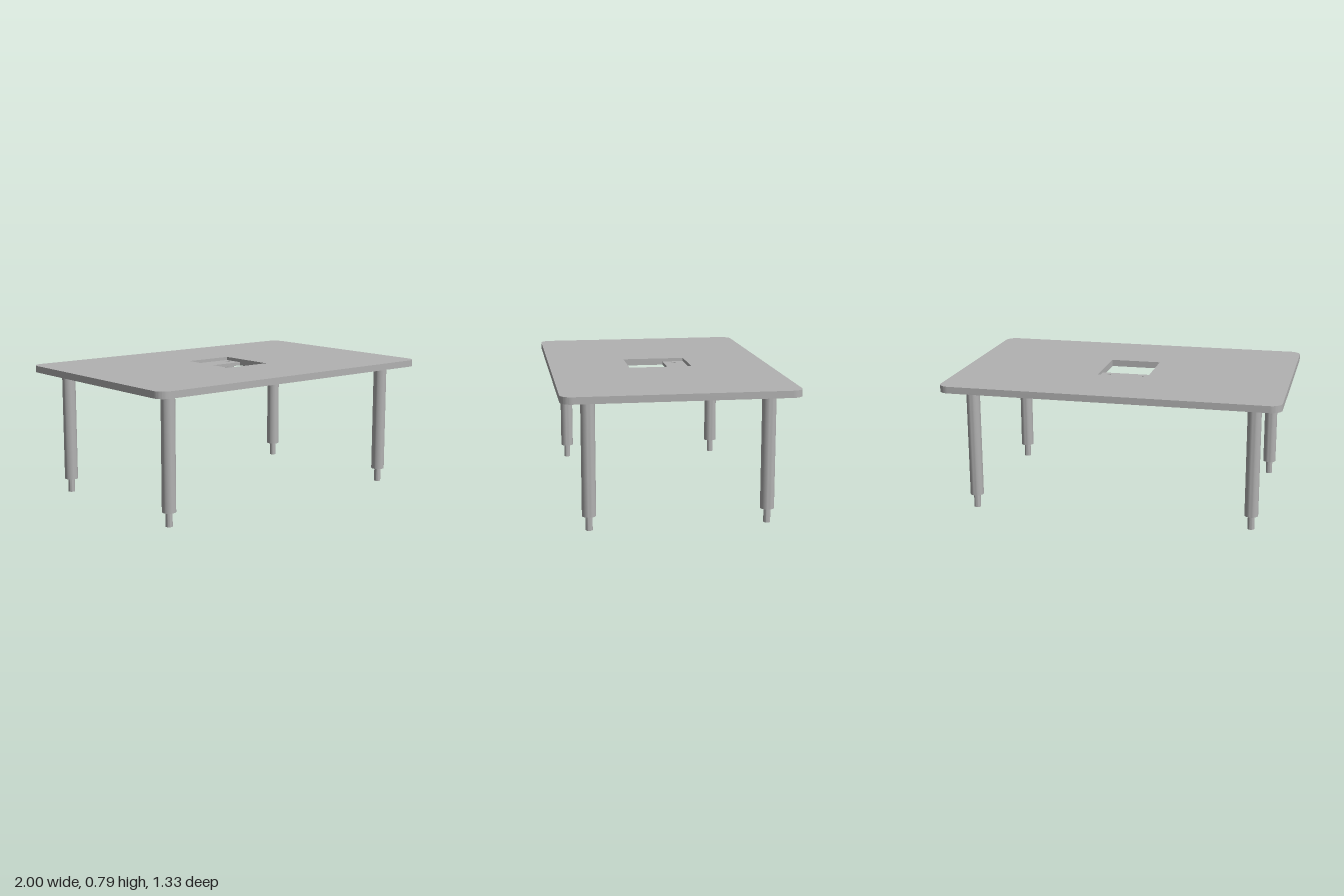
import * as THREE from 'three';
import { toCreasedNormals } from 'three/addons/utils/BufferGeometryUtils.js';

const TOP = 0.79, UNDER = 0.75, LEDGE_TOP = 0.77;
const HOLE_R = 0.014, HOLE_X = 0.1, HOLE_Z = -0.12;

// Horizontal slab from a plan outline (plan y is -z), between two heights
function slab(shape, y0, y1) {
  const g = new THREE.ExtrudeGeometry(shape, { depth: y1 - y0, bevelEnabled: false, curveSegments: 12 });
  g.rotateX(-Math.PI / 2).translate(0, y0, 0);
  return toCreasedNormals(g, 0.5);
}

// Turned part from [radius, y] pairs, listed from bottom to top
function turned(profile) {
  const points = profile.map(([r, y]) => new THREE.Vector2(r, y));
  return toCreasedNormals(new THREE.LatheGeometry(points, 32), 0.5);
}

function rectangle(path, x, y0, y1) {
  path.moveTo(-x, y0).lineTo(x, y0).lineTo(x, y1).lineTo(-x, y1).closePath();
  return path;
}

function roundedRectangle(x, y, r) {
  const s = new THREE.Shape();
  s.absarc(x - r, y - r, r, 0, Math.PI / 2);
  s.absarc(-x + r, y - r, r, Math.PI / 2, Math.PI);
  s.absarc(-x + r, -y + r, r, Math.PI, Math.PI * 1.5);
  s.absarc(x - r, -y + r, r, Math.PI * 1.5, Math.PI * 2);
  s.closePath();
  return s;
}

export function createModel() {
  const model = new THREE.Group();
  model.name = 'table';
  const grey = new THREE.MeshStandardMaterial({ color: 0xb2b2b2 });
  grey.name = 'grey';

  const add = (name, geometry, x = 0, z = 0) => {
    const mesh = new THREE.Mesh(geometry, grey);
    mesh.name = name;
    mesh.position.set(x, 0, z);
    model.add(mesh);
  };

  // Rounded tabletop with a central opening
  const top = roundedRectangle(1, 0.667, 0.067);
  top.holes.push(rectangle(new THREE.Path(), 0.153, -0.19, 0.19));
  add('tabletop', slab(top, UNDER, TOP));

  // Recessed ledge at the back of the opening, with two screw holes
  const ledge = rectangle(new THREE.Shape(), 0.153, 0.06, 0.19);
  for (const s of [-1, 1]) {
    ledge.holes.push(new THREE.Path().absarc(s * HOLE_X, -HOLE_Z, HOLE_R, 0, Math.PI * 2));
  }
  add('ledge', slab(ledge, UNDER, LEDGE_TOP));

  // Round bosses under the ledge, each with a blind hole
  const boss = turned([[0, 0.71], [0.04, 0.71], [0.04, UNDER], [HOLE_R, UNDER], [HOLE_R, 0.73], [0, 0.73]]);
  for (const s of [-1, 1]) add(s > 0 ? 'leftBoss' : 'rightBoss', boss, s * HOLE_X, HOLE_Z);

  // Round legs stepping down to narrow feet
  const leg = turned([[0, 0], [0.02, 0], [0.02, 0.083], [0.04, 0.083], [0.04, UNDER], [0, UNDER]]);
  for (const sx of [-1, 1]) {
    for (const sz of [-1, 1]) {
      add((sz > 0 ? 'front' : 'back') + (sx > 0 ? 'Left' : 'Right') + 'Leg', leg, sx * 0.837, sz * 0.508);
    }
  }
  return model;
}
